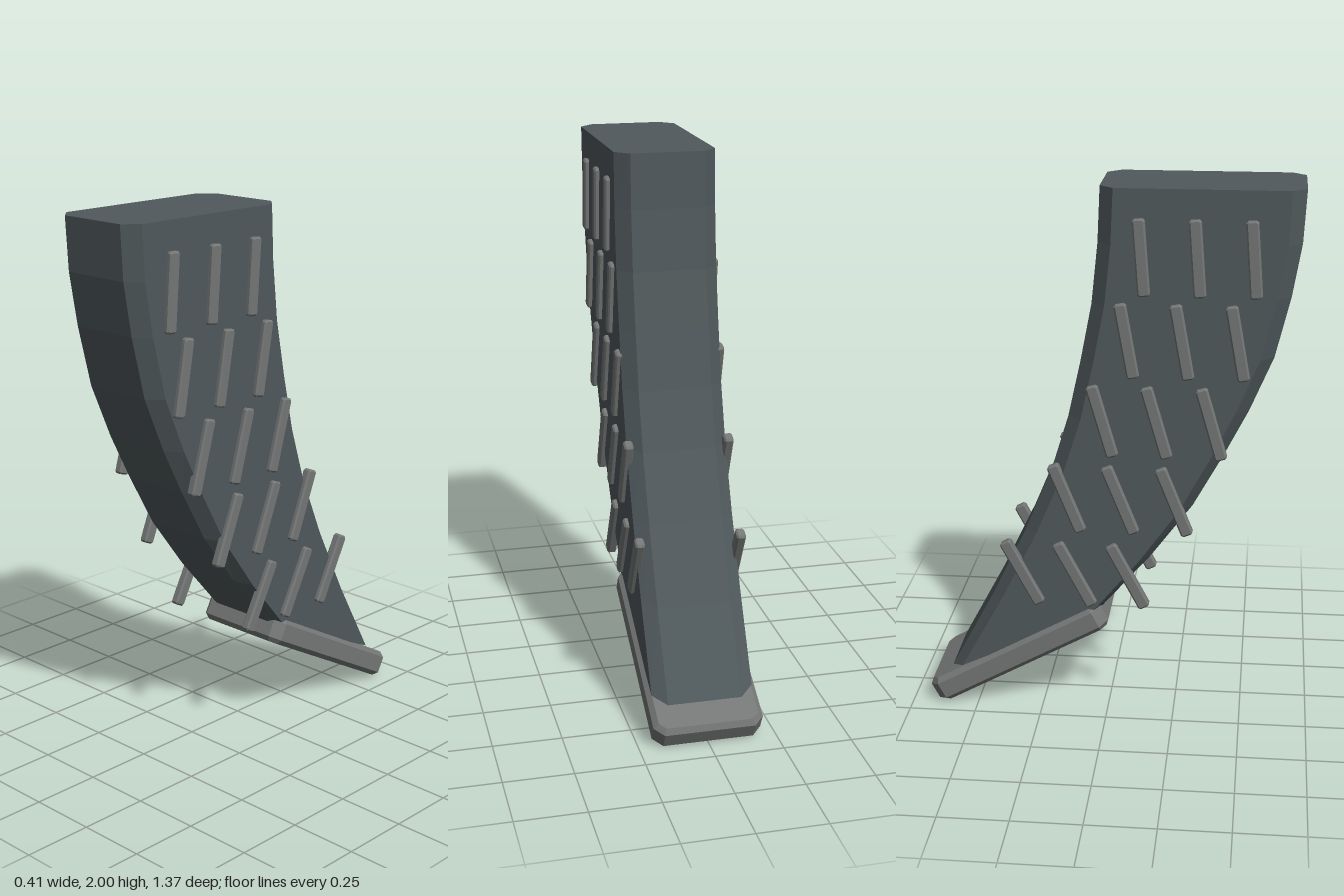
import * as THREE from 'three';

const bodyMat = new THREE.MeshStandardMaterial({ name: 'dark slate', color: 0x50595c, flatShading: true });
const trimMat = new THREE.MeshStandardMaterial({ name: 'mid grey', color: 0x747776, flatShading: true });

// Box with cut corners in outline and a small bevel on both faces, depth along z
function chamferedBox(w, h, d, cut, bevel) {
  const x = w / 2 - bevel, y = h / 2 - bevel;
  const shape = new THREE.Shape([
    [-x + cut, -y], [x - cut, -y], [x, -y + cut], [x, y - cut],
    [x - cut, y], [-x + cut, y], [-x, y - cut], [-x, -y + cut],
  ].map(p => new THREE.Vector2(...p)));
  return new THREE.ExtrudeGeometry(shape, {
    depth: d - 2 * bevel, bevelEnabled: true, bevelSize: bevel, bevelThickness: bevel, bevelSegments: 1,
  }).translate(0, 0, -d / 2 + bevel);
}

// Curved body lofted through octagonal sections: [frontZ, frontY, backZ, backY]
function bodyGeometry() {
  const sections = [
    [0.685, 2, -0.03, 2], [0.675, 1.81, -0.038, 1.8], [0.643, 1.62, -0.06, 1.58],
    [0.59, 1.4, -0.1, 1.37], [0.506, 1.2, -0.146, 1.16], [0.42, 1.03, -0.21, 0.95],
    [0.31, 0.83, -0.31, 0.71], [0.16, 0.627, -0.44, 0.44], [-0.03, 0.405, -0.6, 0.14],
  ];
  const X = 0.185, C = 0.05;
  const pos = [], idx = [];
  for (const [fz, fy, bz, by] of sections) {
    const c = C / Math.hypot(fz - bz, fy - by);
    const ring = [
      [-X + C, 0], [X - C, 0], [X, c], [X, 1 - c],
      [X - C, 1], [-X + C, 1], [-X, 1 - c], [-X, c],
    ];
    for (const [x, t] of ring) pos.push(x, fy + (by - fy) * t, fz + (bz - fz) * t);
  }
  const last = (sections.length - 1) * 8;
  for (let s = 0; s < last; s += 8) {
    for (let j = 0; j < 8; j++) {
      const k = (j + 1) % 8;
      idx.push(s + 8 + j, s + 8 + k, s + k, s + 8 + j, s + k, s + j);
    }
  }
  for (let k = 1; k < 7; k++) idx.push(0, k, k + 1, last, last + k + 1, last + k);
  const indexed = new THREE.BufferGeometry();
  indexed.setAttribute('position', new THREE.Float32BufferAttribute(pos, 3));
  indexed.setIndex(idx);
  const g = indexed.toNonIndexed();
  g.computeVertexNormals();
  return g;
}

export function createModel() {
  const model = new THREE.Group();
  model.name = 'curvedMagazine';

  const body = new THREE.Mesh(bodyGeometry(), bodyMat);
  body.name = 'body';
  model.add(body);

  // Tilted base plate
  const plate = new THREE.Mesh(chamferedBox(0.4, 0.745, 0.1, 0.025, 0.018).rotateX(Math.PI / 2), trimMat);
  plate.name = 'basePlate';
  plate.position.set(0, 0.217, -0.34);
  plate.rotation.x = -0.502;
  model.add(plate);

  // Grip ribs: five leaning rows of three on each side
  const ribGeo = chamferedBox(0.045, 0.275, 0.034, 0.004, 0.006).rotateY(Math.PI / 2);
  const rowZ = [0.315, 0.265, 0.178, 0.048, -0.12];
  for (const side of [-1, 1]) {
    const ribs = new THREE.Group();
    ribs.name = side > 0 ? 'leftRibs' : 'rightRibs';
    rowZ.forEach((z, row) => {
      for (let col = -1; col <= 1; col++) {
        const rib = new THREE.Mesh(ribGeo, trimMat);
        rib.name = 'rib';
        rib.position.set(side * 0.186, 1.76 - 0.3 * row, z + col * 0.196);
        rib.rotation.x = -THREE.MathUtils.degToRad(4.5 + 5.9 * row);
        ribs.add(rib);
      }
    });
    model.add(ribs);
  }
  return model;
}
